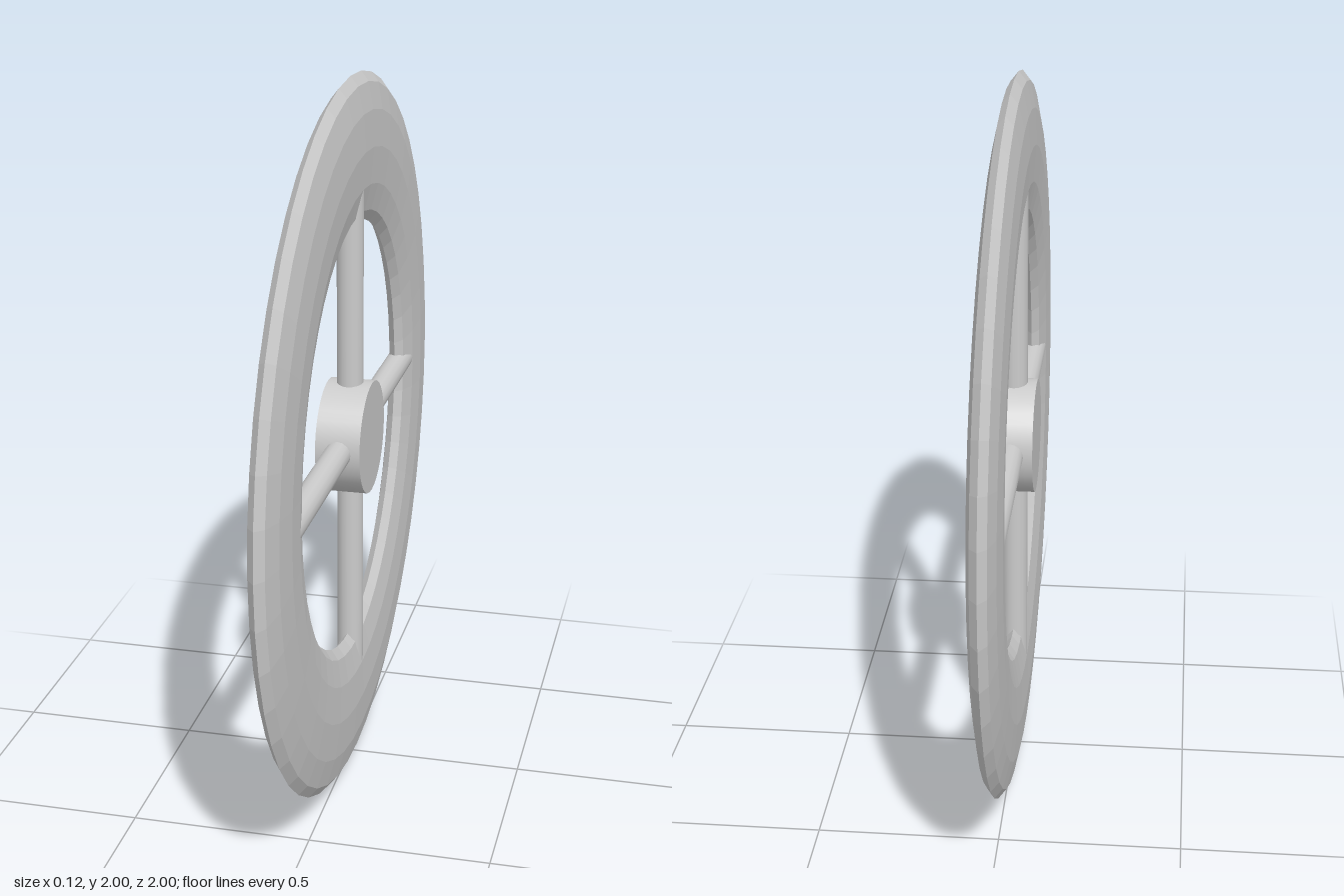
import * as THREE from 'three';

export function createModel() {
  const model = new THREE.Group();
  const smooth = new THREE.MeshStandardMaterial({ color: 0xcccccc });
  const faceted = new THREE.MeshStandardMaterial({ color: 0xcccccc, flatShading: true });

  // The wheel's axle runs along x, its centre is one unit above the ground
  const wheel = new THREE.Group();
  wheel.name = 'wheel';
  wheel.position.y = 1;
  model.add(wheel);

  const add = (name, geometry, material) => {
    const mesh = new THREE.Mesh(geometry, material);
    mesh.name = name;
    wheel.add(mesh);
    return mesh;
  };

  // Rim: a torus flattened along the axle
  const rim = new THREE.TorusGeometry(0.8, 0.2, 12, 48);
  rim.scale(1, 1, 0.0425 / 0.2);
  rim.rotateY(Math.PI / 2);
  add('rim', rim, faceted);

  // Hub: a short drum, slightly wider than the rim
  const hub = new THREE.CylinderGeometry(0.158, 0.158, 0.124, 32);
  hub.rotateZ(Math.PI / 2);
  add('hub', hub, smooth);

  // Four round spokes whose ends sink into the rim
  const spoke = new THREE.CylinderGeometry(0.037, 0.037, 0.7, 16);
  spoke.translate(0, 0.43, 0);
  for (let i = 0; i < 4; i++) {
    add('spoke', spoke, smooth).rotation.x = (i * Math.PI) / 2;
  }

  return model;
}
